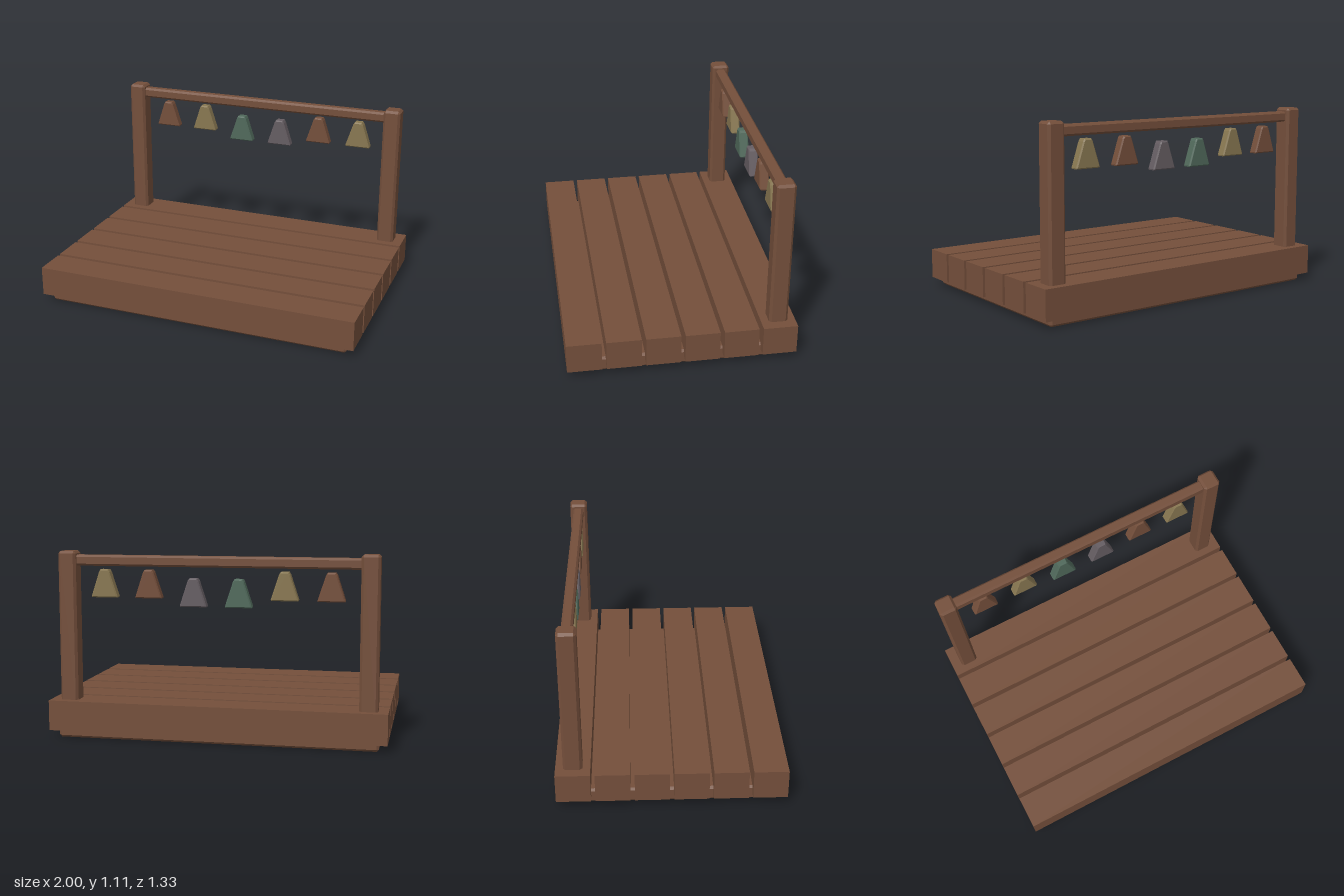
import * as THREE from 'three';
import { ConvexGeometry } from 'three/addons/geometries/ConvexGeometry.js';

const material = (name, color) => {
  const m = new THREE.MeshStandardMaterial({ color });
  m.name = name;
  return m;
};

// Box with flat 45-degree chamfers on every edge
function chamferBox(w, h, d, b) {
  const points = [];
  for (const sx of [-1, 1]) for (const sy of [-1, 1]) for (const sz of [-1, 1]) {
    for (const [cx, cy, cz] of [[0, b, b], [b, 0, b], [b, b, 0]]) {
      points.push(new THREE.Vector3(sx * (w / 2 - cx), sy * (h / 2 - cy), sz * (d / 2 - cz)));
    }
  }
  return new ConvexGeometry(points);
}

// Flat bell-shaped chime, hanging down from y = 0
function chimeGeometry() {
  const half = [[0.023, 0], [0.032, -0.015], [0.079, -0.158], [0.077, -0.165]];
  const outline = [...half, ...half.map(([x, y]) => [-x, y]).reverse()];
  const shape = new THREE.Shape(outline.map(([x, y]) => new THREE.Vector2(x, y)));
  const bevel = 0.007, depth = 0.058;
  const geometry = new THREE.ExtrudeGeometry(shape, {
    depth: depth - 2 * bevel, bevelEnabled: true, bevelSegments: 1,
    bevelSize: bevel, bevelThickness: bevel, bevelOffset: -bevel,
  });
  return geometry.translate(0, 0, bevel - depth / 2);
}

export function createModel() {
  const model = new THREE.Group();
  model.name = 'chimeStage';
  const wood = material('brownWood', 0x744f3b);
  const olive = material('olive', 0x887751);
  const green = material('green', 0x50695b);
  const grey = material('grey', 0x655d62);

  const add = (name, geometry, mat, x, y, z) => {
    const mesh = new THREE.Mesh(geometry, mat);
    mesh.name = name;
    mesh.position.set(x, y, z);
    model.add(mesh);
  };

  // Base slab under the deck
  add('base', chamferBox(1.9, 0.09, 1.27, 0.013), wood, 0, 0.045, 0);

  // Six deck planks with narrow gaps
  const plank = new THREE.BoxGeometry(2, 0.18, 0.201);
  for (let i = 0; i < 6; i++) add('plank' + (i + 1), plank, wood, 0, 0.136, (i - 2.5) * 0.2264);

  // Two posts and the rail between them
  const backZ = -0.566;
  const post = chamferBox(0.107, 0.93, 0.11, 0.014);
  add('leftPost', post, wood, 0.887, 0.646, backZ);
  add('rightPost', post, wood, -0.887, 0.646, backZ);
  add('rail', chamferBox(1.72, 0.064, 0.064, 0.012), wood, 0, 1.057, backZ);

  // Row of hanging chimes, the middle two slightly lower
  const chime = chimeGeometry();
  [wood, olive, green, grey, wood, olive].forEach((mat, i) => {
    const low = i === 2 || i === 3;
    add('chime' + (i + 1), chime, mat, (i - 2.5) * 0.2667, low ? 0.96 : 1.005, backZ);
  });
  return model;
}
